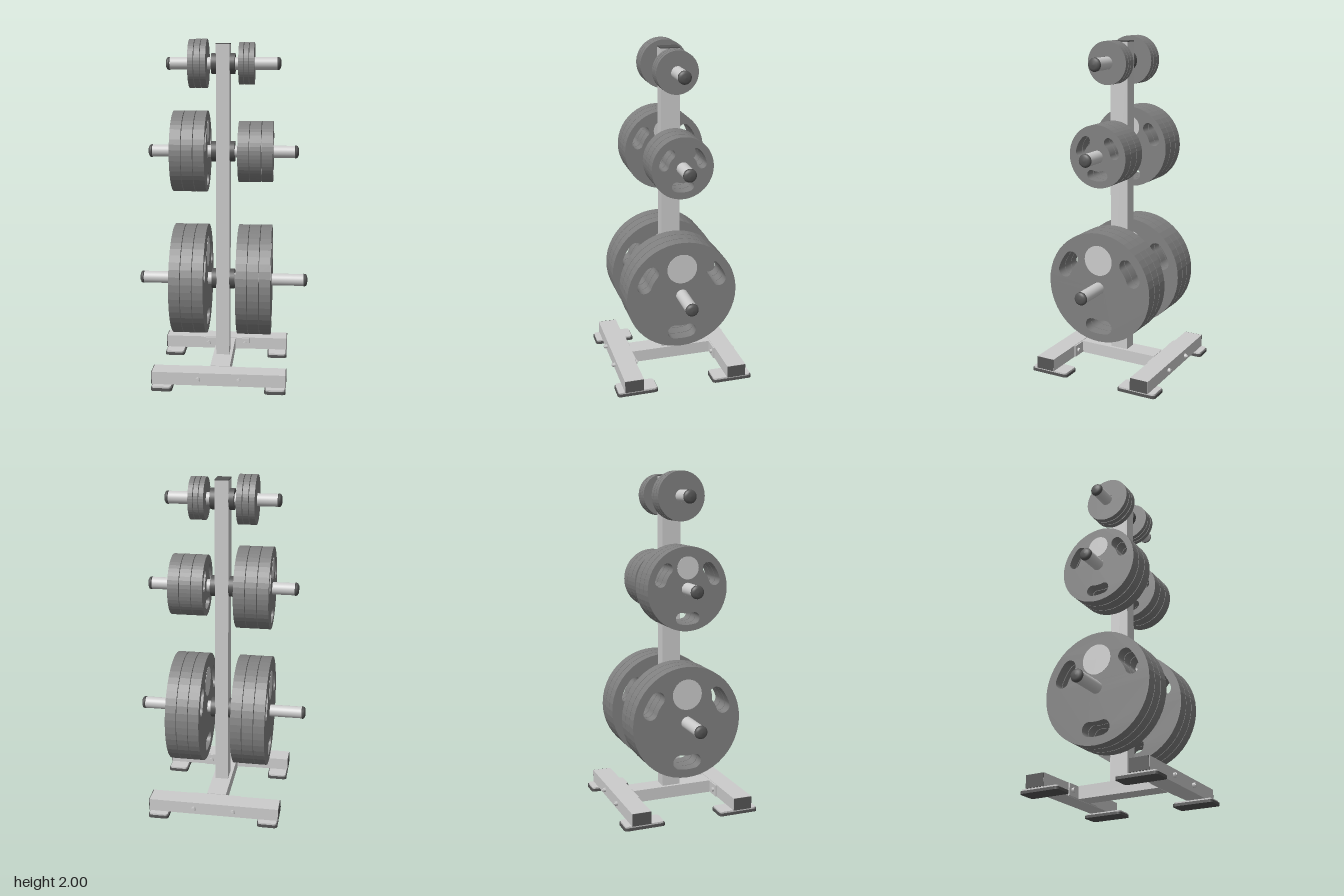
import * as THREE from 'three';

const paint = (color) => new THREE.MeshStandardMaterial({ color });
const steel = paint(0xcccccc);
const iron = paint(0x808080);
const rubber = paint(0x555555);

function add(parent, name, geometry, material, x = 0, y = 0, z = 0) {
  const mesh = new THREE.Mesh(geometry, material);
  mesh.name = name;
  mesh.position.set(x, y, z);
  parent.add(mesh);
  return mesh;
}

const box = (w, h, d) => new THREE.BoxGeometry(w, h, d);
const rodX = (r, len, n = 32) => new THREE.CylinderGeometry(r, r, len, n).rotateZ(-Math.PI / 2);

// Curved grip slot centred on angle a, following the plate's rim
function slotPath(a, radius, width, length) {
  const half = width / 2;
  const spread = (length - width) / 2 / radius;
  const path = new THREE.Path();
  const end = (t) => [Math.cos(t) * radius, Math.sin(t) * radius];
  path.absarc(0, 0, radius + half, a - spread, a + spread, false);
  path.absarc(...end(a + spread), half, a + spread, a + spread + Math.PI, false);
  path.absarc(0, 0, radius - half, a + spread, a - spread, true);
  path.absarc(...end(a - spread), half, a - spread + Math.PI, a - spread + 2 * Math.PI, false);
  path.closePath();
  return path;
}

// Weight plate with its axis along x, centred on the origin
function plateGeometry(radius, thickness, slot) {
  const shape = new THREE.Shape().absarc(0, 0, radius, 0, Math.PI * 2, false);
  shape.holes.push(new THREE.Path().absarc(0, 0, 0.037, 0, Math.PI * 2, true));
  if (slot) {
    for (const deg of [30, 150, 270]) {
      shape.holes.push(slotPath(THREE.MathUtils.degToRad(deg), ...slot));
    }
  }
  return new THREE.ExtrudeGeometry(shape, { depth: thickness, bevelEnabled: false, curveSegments: 24 })
    .translate(0, 0, -thickness / 2)
    .rotateY(Math.PI / 2);
}

// Three plates side by side, starting beside the collar
function plateStack(parent, name, side, y, { radius, pitch, slot, badge }) {
  const stack = new THREE.Group();
  stack.name = name;
  const thickness = pitch - 0.004;
  const geometry = plateGeometry(radius, thickness, slot);
  for (let i = 0; i < 3; i++) {
    const x = side * (0.093 + pitch * i + thickness / 2);
    add(stack, 'weightPlate', geometry, iron, x, y, 0);
    if (badge) {
      add(stack, 'plateBadge', rodX(badge.r, thickness + 0.002), steel, x, y + badge.y, 0);
    }
  }
  parent.add(stack);
}

// Storage peg with domed end caps and collars against the post
function peg(parent, y, reach) {
  const group = new THREE.Group();
  group.name = 'storagePeg';
  group.position.y = y;
  add(group, 'pegBar', rodX(0.036, 2 * (reach - 0.02)), steel);
  const capProfile = [[0, -0.004], [0.038, -0.004], [0.038, 0.004], [0.034, 0.012], [0.022, 0.018], [0, 0.02]]
    .map(([r, h]) => new THREE.Vector2(r, h));
  for (const side of [-1, 1]) {
    const cap = new THREE.LatheGeometry(capProfile, 32).rotateZ(-side * Math.PI / 2);
    add(group, 'pegEndCap', cap, rubber, side * (reach - 0.02), 0, 0);
    add(group, 'pegCollar', rodX(0.061, 0.03), rubber, side * 0.054, 0, 0);
  }
  parent.add(group);
}

// Flat slab with rounded corners, lying from y = 0 upwards
function slab(w, d, h, r) {
  const x = w / 2, y = d / 2;
  const s = new THREE.Shape();
  s.absarc(x - r, y - r, r, 0, Math.PI / 2);
  s.absarc(-x + r, y - r, r, Math.PI / 2, Math.PI);
  s.absarc(-x + r, -y + r, r, Math.PI, Math.PI * 1.5);
  s.absarc(x - r, -y + r, r, Math.PI * 1.5, Math.PI * 2);
  return new THREE.ExtrudeGeometry(s, { depth: h, bevelEnabled: false, curveSegments: 6 }).rotateX(-Math.PI / 2);
}

export function createModel() {
  const model = new THREE.Group();
  model.name = 'weightPlateTree';

  // Upright and base spine
  add(model, 'post', box(0.08, 1.87, 0.112), steel, 0, 1.035, 0);
  add(model, 'postTopCap', box(0.08, 0.006, 0.112), rubber, 0, 1.973, 0);
  add(model, 'baseSpine', box(0.116, 0.075, 0.5), steel, 0, 0.0625, 0);

  // Cross feet with flanges, bolts, end caps and pads
  for (const front of [-1, 1]) {
    const foot = new THREE.Group();
    foot.name = front > 0 ? 'frontFoot' : 'backFoot';
    add(foot, 'crossBeam', box(0.776, 0.075, 0.115), steel, 0, 0.0625, front * 0.317);
    add(foot, 'spineFlange', box(0.3, 0.07, 0.01), steel, 0, 0.0625, front * 0.255);
    for (const side of [-1, 1]) {
      add(foot, 'beamEndCap', box(0.004, 0.073, 0.113), rubber, side * 0.39, 0.0625, front * 0.317);
      const shank = new THREE.CylinderGeometry(0.008, 0.008, 0.16, 12).rotateX(Math.PI / 2);
      add(foot, 'boltShank', shank, steel, side * 0.118, 0.0625, front * 0.317);
      for (const z of [0.244, 0.384]) {
        const hex = new THREE.CylinderGeometry(0.014, 0.014, 0.016, 6).rotateX(Math.PI / 2);
        add(foot, 'boltHead', hex, steel, side * 0.118, 0.0625, front * z);
      }
      add(foot, 'rubberPad', slab(0.122, 0.246, 0.016, 0.02), rubber, side * 0.328, 0, front * 0.294);
      add(foot, 'padPlate', slab(0.11, 0.234, 0.01, 0.016), steel, side * 0.328, 0.0155, front * 0.294);
    }
    model.add(foot);
  }

  // Pegs
  const low = 0.567, mid = 1.346, high = 1.859;
  peg(model, low, 0.51);
  peg(model, mid, 0.447);
  peg(model, high, 0.337);

  // Plates: slot = [centre radius, width, length]
  const large = { radius: 0.332, pitch: 0.068, slot: [0.24, 0.085, 0.175], badge: { r: 0.09, y: 0.168 } };
  const medium = { radius: 0.24, pitch: 0.068, slot: [0.17, 0.066, 0.145], badge: { r: 0.065, y: 0.12 } };
  const small = { radius: 0.18, pitch: 0.069, slot: [0.112, 0.056, 0.132] };
  plateStack(model, 'largePlatesLeft', 1, low, large);
  plateStack(model, 'largePlatesRight', -1, low, large);
  plateStack(model, 'smallPlatesLeft', 1, mid, small);
  plateStack(model, 'mediumPlatesRight', -1, mid, medium);
  plateStack(model, 'tinyPlatesLeft', 1, high, { radius: 0.122, pitch: 0.031 });
  plateStack(model, 'tinyPlatesRight', -1, high, { radius: 0.141, pitch: 0.036 });

  return model;
}
